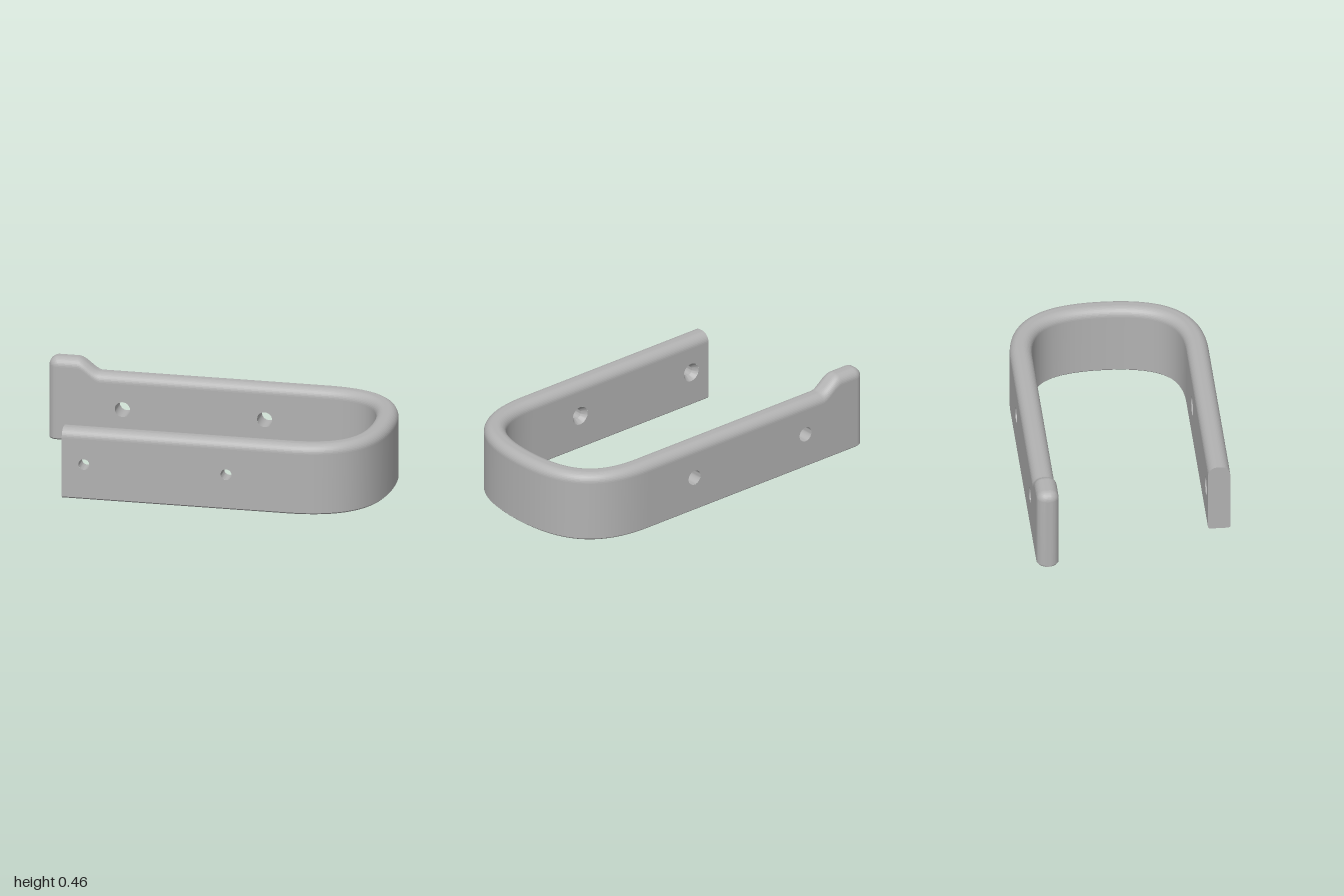
import * as THREE from 'three';
import { toCreasedNormals } from 'three/addons/utils/BufferGeometryUtils.js';

const W = 0.06;          // half thickness of the band
const R = 0.05;          // rounding of the top edges and the tip
const C = 0.008;         // small bevel along the bottom
const H = 0.39, LIP = 0.462;
const MID = 0.475;       // distance of each arm's centre line from the middle
const BEND = 0.52;       // x where the arms start to curve
const FULLNESS = 0.7;    // handle length of the bend's curve
const K = 10;            // segments per rounded edge
const HOLES = [-0.588, 0.195], HOLE_Y = 0.197, PAD = 0.08;

// One station of the sweep: centre, outward direction, height, rounding
const station = (x, z, nx, nz, h = H, r = R, open = false) => ({ x, z, nx, nz, h, r, open });

function buildStations() {
  const s = [];
  // front arm; "open" spans are filled by drilled panels
  s.push(station(-0.71, MID, 0, 1));
  for (const x of HOLES) {
    s.push(station(x - PAD, MID, 0, 1, H, R, true), station(x + PAD, MID, 0, 1));
  }
  // full, squarish bend: one quarter curve and its mirror image
  const end = 1 - W, N = 56;
  const quarter = new THREE.CubicBezierCurve(
    new THREE.Vector2(BEND, MID),
    new THREE.Vector2(BEND + FULLNESS * (end - BEND), MID),
    new THREE.Vector2(end, FULLNESS * MID),
    new THREE.Vector2(end, 0));
  for (let i = 0; i <= 2 * N; i++) {
    const t = Math.min(i, 2 * N - i) / N, side = i <= N ? 1 : -1;
    const p = quarter.getPoint(t), d = quarter.getTangent(t);
    s.push(station(p.x, side * p.y, -d.y, side * d.x));
  }
  // back arm
  for (const x of [...HOLES].reverse()) {
    s.push(station(x + PAD, -MID, 0, -1, H, R, true), station(x - PAD, -MID, 0, -1));
  }
  // ramp up to the raised lip
  for (let i = 0; i <= 20; i++) {
    const u = i / 20;
    s.push(station(-0.71 - 0.135 * u, -MID, 0, -1, H + (LIP - H) * u * u * (3 - 2 * u)));
  }
  // rounded tip
  for (let i = 0; i <= K; i++) {
    const t = (Math.PI / 2) * (i / K), r = R * Math.cos(t);
    s.push(station(-1 + R - R * Math.sin(t), -MID, 0, -1, LIP - R + r, r));
  }
  return s;
}

// Cross-section as [outward offset, height], from outer bottom over the top to inner bottom
function section({ h, r }) {
  const w = W - R + r, half = [[w - C, 0], [w, C]];
  for (let k = 0; k <= K; k++) {
    const t = (Math.PI / 2) * (k / K);
    half.push([w - r + r * Math.cos(t), h - r + r * Math.sin(t)]);
  }
  return [...half, ...half.map(([o, y]) => [-o, y]).reverse()];
}

function buildBand() {
  const stations = buildStations(), pos = [], idx = [];
  const n = 2 * (K + 3), outerSide = 1, innerSide = n - 3;
  for (const s of stations) {
    for (const [o, y] of section(s)) pos.push(s.x + s.nx * o, y, s.z + s.nz * o);
  }
  for (let i = 0; i < stations.length - 1; i++) {
    for (let j = 0; j < n; j++) {
      if (stations[i].open && (j === outerSide || j === innerSide)) continue;
      const k = (j + 1) % n, p = i * n, q = p + n;
      idx.push(p + j, q + j, q + k, p + j, q + k, p + k);
    }
  }
  // end caps
  const last = (stations.length - 1) * n;
  const ends = [[stations[0], 0], [stations[stations.length - 1], last]];
  ends.forEach(([s, base], e) => {
    const c = pos.length / 3;
    pos.push(s.x, s.h / 2, s.z);
    for (let j = 0; j < n; j++) {
      const k = (j + 1) % n;
      if (e) idx.push(c, base + k, base + j);
      else idx.push(c, base + j, base + k);
    }
  });
  const g = new THREE.BufferGeometry();
  g.setAttribute('position', new THREE.Float32BufferAttribute(pos, 3));
  g.setIndex(idx);
  return toCreasedNormals(g, 0.065);
}

// Flat rectangle with a round hole, centred on the hole
function panelGeometry(r) {
  const lo = C - HOLE_Y, hi = H - R - HOLE_Y;
  const shape = new THREE.Shape();
  shape.moveTo(-PAD, lo).lineTo(PAD, lo).lineTo(PAD, hi).lineTo(-PAD, hi).closePath();
  shape.holes.push(new THREE.Path().absarc(0, 0, r, 0, Math.PI * 2, true));
  return new THREE.ShapeGeometry(shape, 32);
}

// Drilled section of an arm; the profile lists [radius, z] from +z to -z
function drilledSection(name, profile, material) {
  const group = new THREE.Group();
  group.name = name;
  const add = (part, geometry) => {
    const mesh = new THREE.Mesh(geometry, material);
    mesh.name = part;
    group.add(mesh);
  };
  add('frontPanel', panelGeometry(profile[0][0]).translate(0, 0, W));
  add('rearPanel', panelGeometry(profile[profile.length - 1][0]).translate(0, 0, W).rotateY(Math.PI));
  const bore = new THREE.LatheGeometry(profile.map(([r, z]) => new THREE.Vector2(r, z)), 32);
  add('bore', toCreasedNormals(bore.rotateX(Math.PI / 2), 0.5));
  return group;
}

export function createModel() {
  const model = new THREE.Group();
  model.name = 'wallHook';
  const grey = new THREE.MeshStandardMaterial({ color: 0xb2b2b2 });
  grey.name = 'plainGrey';

  const band = new THREE.Mesh(buildBand(), grey);
  band.name = 'hookBand';
  model.add(band);

  // countersunk screw holes in front, wider access holes behind
  const screw = [[0.03, W], [0.03, -0.03], [0.052, -W]];
  const access = [[0.042, W], [0.042, -W]];
  for (const x of HOLES) {
    const front = drilledSection('screwHole', screw, grey);
    front.position.set(x, HOLE_Y, MID);
    const back = drilledSection('accessHole', access, grey);
    back.position.set(x, HOLE_Y, -MID);
    model.add(front, back);
  }
  return model;
}
